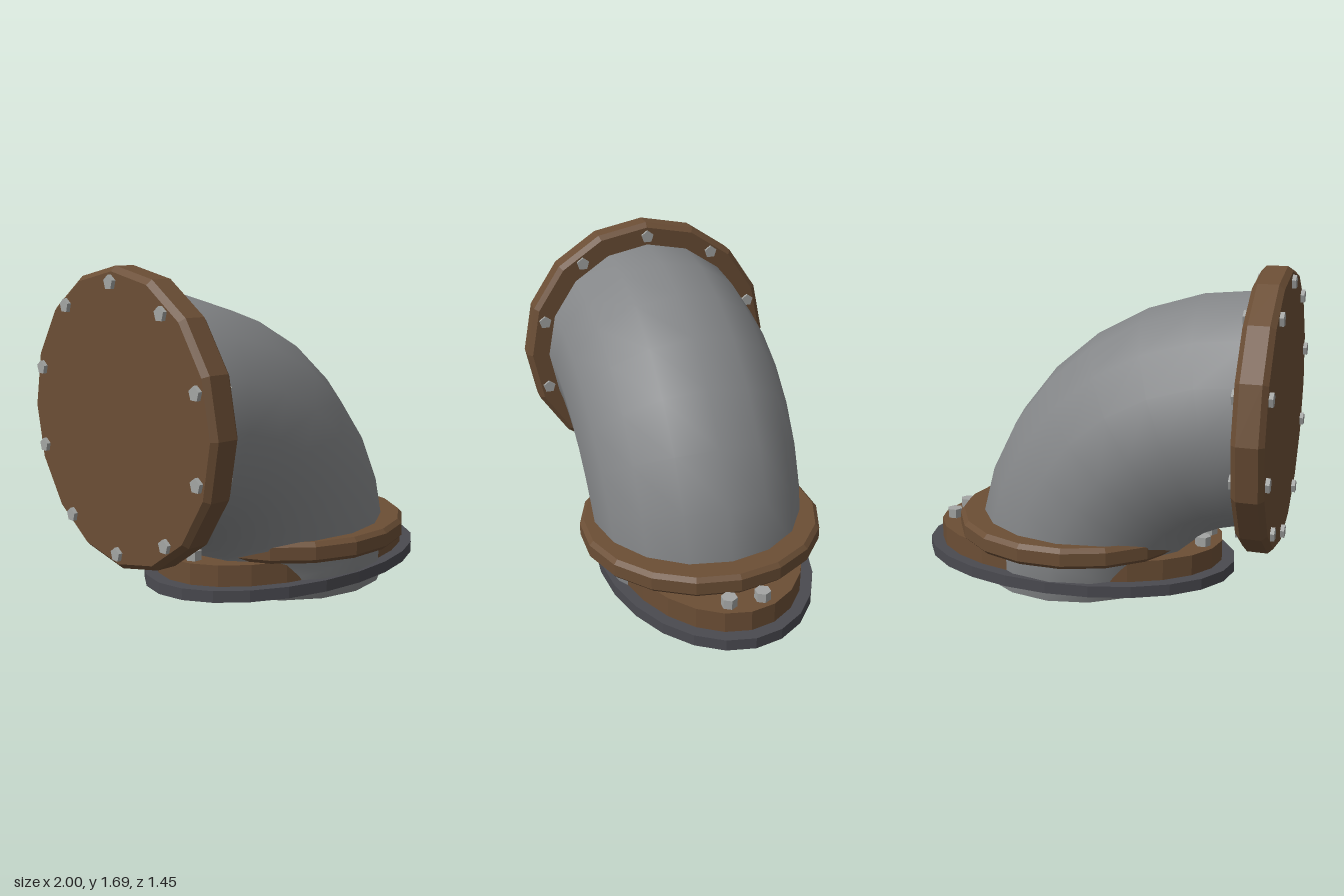
import * as THREE from 'three';

const mat = (name, color) => {
  const m = new THREE.MeshStandardMaterial({ color });
  m.name = name;
  return m;
};

export function createModel() {
  const group = new THREE.Group();
  const grey = mat('pipe grey', 0x848688);
  const brown = mat('rust brown', 0x6b4e35);
  const dark = mat('gasket dark grey', 0x4a4a50);
  const steel = mat('bolt light grey', 0xa3a5a3);

  const add = (name, geometry, material, x = 0, y = 0, z = 0) => {
    const mesh = new THREE.Mesh(geometry, material);
    mesh.name = name;
    mesh.position.set(x, y, z);
    group.add(mesh);
    return mesh;
  };
  // Facets a geometry so every face is flat
  const facet = (geometry) => {
    const g = geometry.toNonIndexed();
    g.computeVertexNormals();
    return g;
  };
  // Solid disc with bevelled rims, centred on its own axis
  const bevelDisc = (r, h, bevel, sides) => {
    const profile = [
      [0, -h / 2], [r - bevel, -h / 2], [r, -h / 2 + bevel],
      [r, h / 2 - bevel], [r - bevel, h / 2], [0, h / 2],
    ].map(([x, y]) => new THREE.Vector2(x, y));
    return facet(new THREE.LatheGeometry(profile, sides));
  };

  // Elbow pipe: rings swept through a quarter turn, ending in a turned-in lip
  const SIDES = 16, BENDS = 8, pos = [], index = [];
  const ring = (a, R, r, lift = 0) => {
    for (let j = 0; j < SIDES; j++) {
      const b = (j / SIDES) * Math.PI * 2;
      const d = R + r * Math.cos(b);
      pos.push(-0.85 + d * Math.sin(a), d * Math.cos(a) + lift, r * Math.sin(b));
    }
  };
  for (let i = 0; i <= BENDS; i++) {
    const t = i / BENDS;
    ring(t * Math.PI / 2, 0.96 + 0.015 * t, 0.605 - 0.06 * t ** 2.5);
  }
  ring(Math.PI / 2, 0.975, 0.512);
  ring(Math.PI / 2, 0.975, 0.508, 0.05);
  for (let i = 0; i < BENDS + 2; i++) {
    for (let j = 0; j < SIDES; j++) {
      const k = (j + 1) % SIDES;
      const a = i * SIDES + j, b = i * SIDES + k;
      index.push(a, b, a + SIDES, b, b + SIDES, a + SIDES);
    }
  }
  const pipe = new THREE.BufferGeometry();
  pipe.setAttribute('position', new THREE.Float32BufferAttribute(pos, 3));
  pipe.setIndex(index);
  pipe.computeVertexNormals();
  add('elbowPipe', pipe, grey);

  // Upright end flange
  add('endFlange', bevelDisc(0.727, 0.155, 0.026, 16).rotateZ(-Math.PI / 2), brown, -0.902, 0.96);

  // Ten through-bolts around the end flange
  const stud = facet(new THREE.CylinderGeometry(0.036, 0.036, 0.19, 5))
    .rotateX(-Math.PI / 2).rotateY(Math.PI / 2);
  for (let i = 0; i < 10; i++) {
    const a = (i / 10) * Math.PI * 2;
    add('endFlangeBolt', stud, steel, -0.905, 0.96 + 0.65 * Math.cos(a), 0.65 * Math.sin(a));
  }

  // Round collar above the base
  add('baseCollar', bevelDisc(0.655, 0.11, 0.022, 18).rotateY(Math.PI / 2), brown, 0.13, 0.275);

  // Oval base flange, reaching through the oval gasket
  const oval = (a, b, h) => facet(
    new THREE.CylinderGeometry(1, 1, h, 24).rotateY(Math.PI / 2).scale(a, 1, b));
  add('ovalFlange', oval(0.802, 0.505, 0.175), brown, 0.13, 0.1325);
  add('gasket', oval(0.87, 0.565, 0.06), dark, 0.13, 0.08);

  // Hex bolts, a pair at each end of the oval flange
  const hex = facet(new THREE.CylinderGeometry(0.042, 0.042, 0.07, 6).rotateY(Math.PI / 2));
  for (const sx of [-1, 1]) {
    for (const sz of [-1, 1]) add('baseBolt', hex, steel, 0.13 + sx * 0.715, 0.235, sz * 0.088);
  }

  return group;
}
